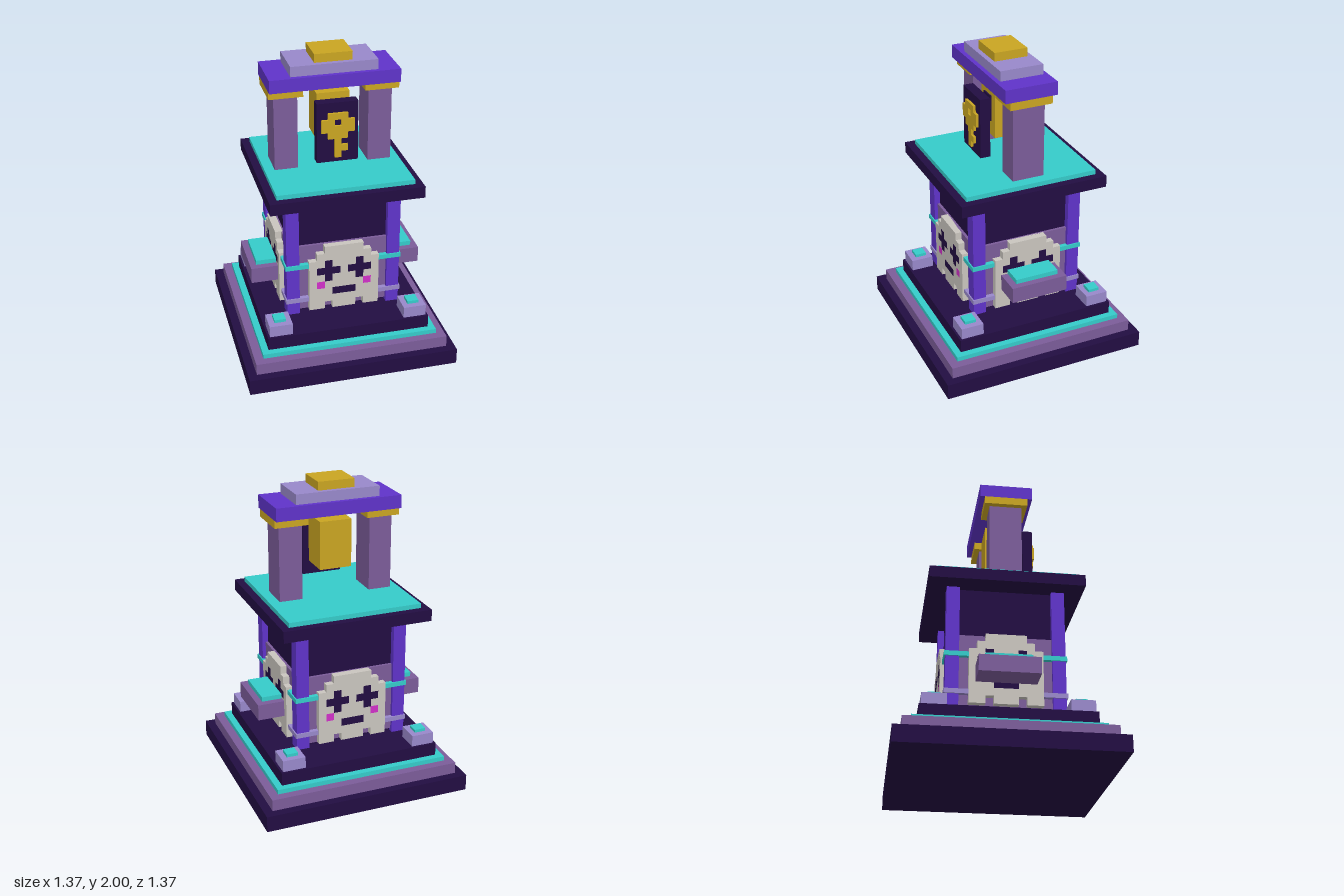
import * as THREE from 'three';

const mat = (name, color) => {
  const m = new THREE.MeshStandardMaterial({ color });
  m.name = name;
  return m;
};

export function createModel() {
  const M = {
    dark: mat('darkPlum', 0x220d42),
    purple: mat('dustyPurple', 0x7b5c99),
    teal: mat('teal', 0x35cbc9),
    lavender: mat('lavender', 0x9888ca),
    violet: mat('violet', 0x5f33c9),
    gold: mat('gold', 0xc9a522),
    bone: mat('bone', 0xc9c5be),
    pink: mat('pink', 0xd030c8),
  };
  const root = new THREE.Group();
  root.name = 'shrine';

  // Box given by its min and max on each axis
  const box = (name, m, [x0, x1], [y0, y1], [z0, z1], parent = root) => {
    const mesh = new THREE.Mesh(new THREE.BoxGeometry(x1 - x0, y1 - y0, z1 - z0), m);
    mesh.position.set((x0 + x1) / 2, (y0 + y1) / 2, (z0 + z1) / 2);
    mesh.name = name;
    parent.add(mesh);
    return mesh;
  };
  // Box centred on the vertical axis
  const slab = (name, m, hx, y0, y1, hz = hx) => box(name, m, [-hx, hx], [y0, y1], [-hz, hz]);
  const span = (s, a, b) => (s > 0 ? [a, b] : [-b, -a]);

  // Pixel art: each run of equal letters in a row becomes one block
  const pixels = (name, rows, key, size, top, z0, z1) => {
    const g = new THREE.Group();
    g.name = name;
    const left = (-rows[0].length * size) / 2;
    rows.forEach((row, r) => {
      for (let c = 0; c < row.length;) {
        let e = c + 1;
        while (e < row.length && row[e] === row[c]) e++;
        if (key[row[c]]) {
          const [part, m] = key[row[c]];
          box(part, m, [left + c * size, left + e * size],
            [top - (r + 1) * size, top - r * size], [z0, z1], g);
        }
        c = e;
      }
    });
    root.add(g);
    return g;
  };

  // Stepped base
  slab('baseStep', M.dark, 0.683, 0, 0.105);
  slab('baseSecondStep', M.purple, 0.628, 0.105, 0.18);
  slab('baseTealTrim', M.teal, 0.573, 0.18, 0.21);
  slab('baseTopStep', M.dark, 0.53, 0.21, 0.295);

  // Tower body, bands and roof
  slab('towerCore', M.dark, 0.33, 0.345, 1.145);
  slab('tealBand', M.teal, 0.378, 0.675, 0.705);
  slab('lavenderBand', M.lavender, 0.378, 0.43, 0.46);
  slab('roofSlab', M.dark, 0.488, 1.145, 1.22);
  slab('roofTealTop', M.teal, 0.437, 1.22, 1.25);

  // Corner posts and lamps
  for (const sx of [-1, 1]) for (const sz of [-1, 1]) {
    box('cornerPost', M.violet, span(sx, 0.287, 0.37), [0.345, 1.145], span(sz, 0.287, 0.37));
    box('cornerBlock', M.lavender, span(sx, 0.367, 0.516), [0.295, 0.37], span(sz, 0.367, 0.516));
    box('cornerLamp', M.teal, span(sx, 0.403, 0.477), [0.37, 0.39], span(sz, 0.403, 0.477));
  }

  // Skull relief on a purple panel, one for each side
  const skull = [
    '..WWWWW..',
    '.WWWWWWW.',
    'WWDWWWDWW',
    'WDDDWDDDW',
    'WWDWWWDWW',
    'WPWWWWWPW',
    'WWWDDDWWW',
    'WWWWWWWWW',
    'WW.WWW.WW',
  ];
  const skullKey = { W: ['skullBone', M.bone], D: ['skullFeature', M.dark], P: ['skullCheek', M.pink] };
  for (let i = 0; i < 4; i++) {
    const g = pixels('skullRelief', skull, skullKey, 0.0507, 0.825, 0.34, 0.389);
    box('skullPanel', M.purple, [-0.287, 0.287], [0.365, 0.825], [0.32, 0.348], g);
    g.rotation.y = (i * Math.PI) / 2;
  }

  // Side shelves
  for (const s of [-1, 1]) {
    box('shelf', M.purple, span(s, 0.385, 0.563), [0.505, 0.61], [-0.188, 0.188]);
    box('shelfTop', M.teal, span(s, 0.39, 0.522), [0.61, 0.64], [-0.144, 0.144]);
  }

  // Gateway on the roof
  for (const s of [-1, 1]) {
    box('gatePillar', M.purple, span(s, 0.226, 0.376), [1.256, 1.745], [-0.104, 0.104]);
    box('gateCapital', M.gold, span(s, 0.196, 0.412), [1.745, 1.795], [-0.138, 0.138]);
  }
  slab('gateLintel', M.violet, 0.412, 1.795, 1.88, 0.17);
  slab('gateUpperStep', M.lavender, 0.275, 1.88, 1.945, 0.141);
  slab('gateCrown', M.gold, 0.12, 1.945, 2, 0.109);

  // Hanging gold block and the key plaque before it
  slab('goldBlock', M.gold, 0.105, 1.43, 1.742, 0.1);
  box('blockPlate', M.dark, [-0.05, 0.05], [1.525, 1.695], [0.1, 0.108]);
  box('keyPlaque', M.dark, [-0.131, 0.131], [1.325, 1.718], [0.145, 0.211]);
  pixels('key', ['.GGG.', 'GG.GG', 'GGGGG', '.GGG.', '..G..', '..GG.', '..G..'],
    { G: ['keyPart', M.gold] }, 0.0422, 1.653, 0.211, 0.228);

  return root;
}
